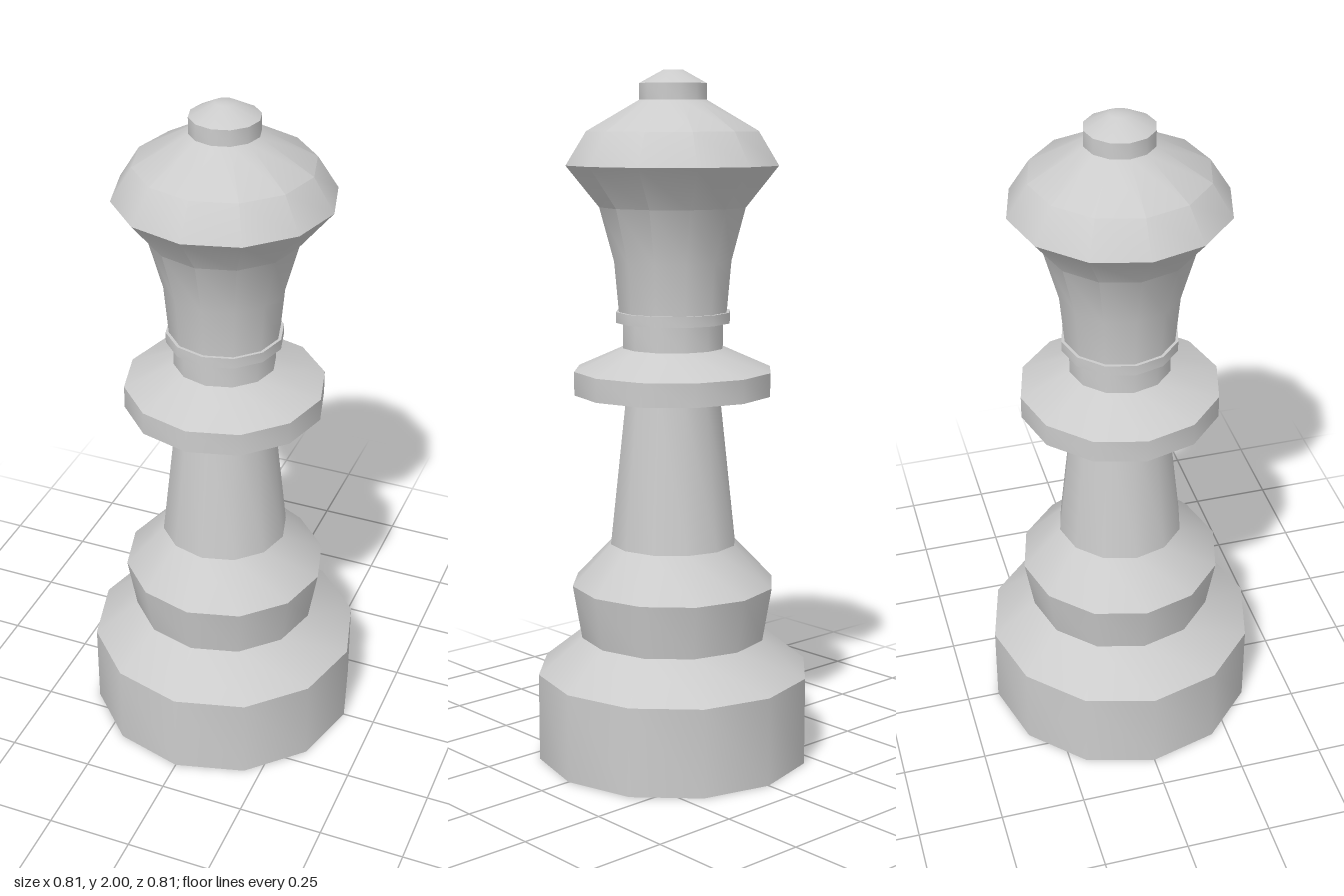
import * as THREE from 'three';
import { toCreasedNormals } from 'three/addons/utils/BufferGeometryUtils.js';

const SIDES = 12;
const CREASE = 0.6; // keeps the facets around the axis smooth, profile corners sharp

// Each part is a [radius, height] profile, from bottom to top.
const PROFILES = {
  base: [[0, 0], [0.403, 0], [0.403, 0.258], [0.273, 0.362]],
  lowerCollar: [[0.273, 0.362], [0.3, 0.52], [0.186, 0.64]],
  stem: [[0.186, 0.64], [0.138, 1.083]],
  upperCollar: [[0.138, 1.083], [0.29, 1.083], [0.29, 1.151], [0.147, 1.215]],
  neck: [[0.147, 1.215], [0.147, 1.289]],
  neckRing: [[0.147, 1.289], [0.168, 1.289], [0.168, 1.32], [0.159, 1.32]],
  head: [[0.159, 1.32], [0.172, 1.464], [0.214, 1.618], [0.309, 1.735], [0.25, 1.83], [0.098, 1.917]],
  finial: [[0.098, 1.917], [0.098, 1.963], [0.029, 2], [0, 2]],
};

export function createModel() {
  const model = new THREE.Group();
  model.name = 'chessPiece';
  const material = new THREE.MeshStandardMaterial({ color: 0xcccccc });

  // Turn every profile around the y axis
  for (const [name, profile] of Object.entries(PROFILES)) {
    const points = profile.map(([r, y]) => new THREE.Vector2(r, y));
    const geometry = toCreasedNormals(new THREE.LatheGeometry(points, SIDES), CREASE);
    const mesh = new THREE.Mesh(geometry, material);
    mesh.name = name;
    model.add(mesh);
  }
  return model;
}
